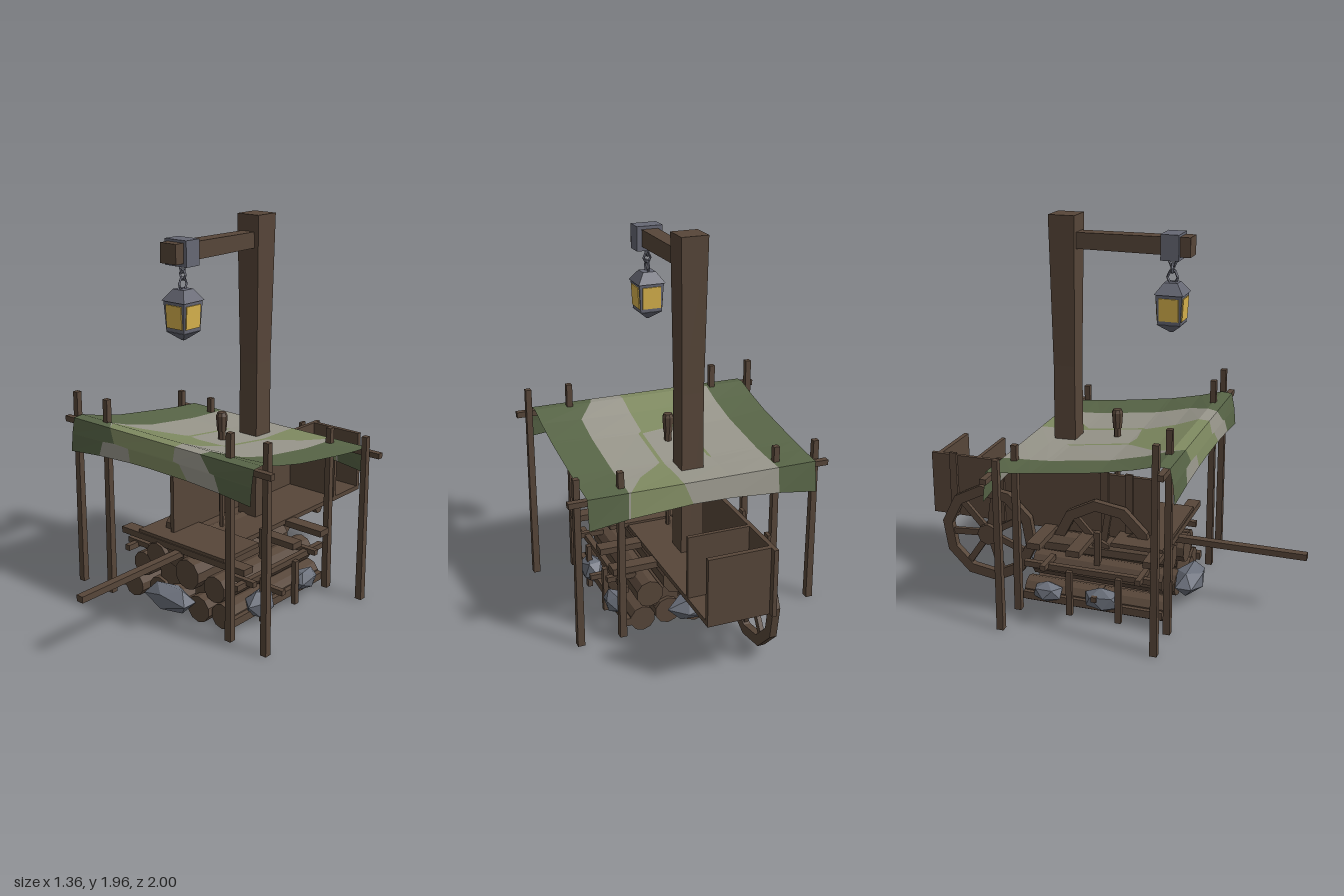
import * as THREE from 'three';

const mat = (name, color, extra = {}) => {
  const m = new THREE.MeshStandardMaterial({ color, flatShading: true, ...extra });
  m.name = name;
  return m;
};

export function createModel() {
  const root = new THREE.Group();
  const wood = mat('wood', 0x574639);
  const iron = mat('iron', 0x666874);
  const stone = mat('stone', 0x6b707b);
  const glow = mat('lantern glass', 0xd9b44e);
  const two = { side: THREE.DoubleSide };
  const dark = mat('dark green cloth', 0x586547, two);
  const sand = mat('grey cloth', 0x98968b, two);
  const light = mat('light green cloth', 0x7f8a61, two);

  const add = (name, geo, m, x = 0, y = 0, z = 0, parent = root) => {
    const mesh = new THREE.Mesh(geo, m);
    mesh.name = name;
    mesh.position.set(x, y, z);
    parent.add(mesh);
    return mesh;
  };
  // Box given by its limits on each axis
  const box = (name, x0, x1, y0, y1, z0, z1, m = wood) => add(name,
    new THREE.BoxGeometry(x1 - x0, y1 - y0, z1 - z0), m, (x0 + x1) / 2, (y0 + y1) / 2, (z0 + z1) / 2);
  // Square section with half-widths at top and bottom
  const taper = (top, bottom, h) =>
    new THREE.CylinderGeometry(top * Math.SQRT2, bottom * Math.SQRT2, h, 4).rotateY(Math.PI / 4);

  // Main post, slightly waisted
  [[0.056, 0.06, 0, 1.2], [0.068, 0.056, 1.2, 1.96]].forEach(([t, b, y0, y1]) =>
    add('mainPost', taper(t, b, y1 - y0), wood, 0, (y0 + y1) / 2, -0.265));

  // Arm and its iron collar
  const arm = add('arm', taper(0.044, 0.04, 0.6), wood, 0, 1.836, 0.08);
  arm.rotation.x = Math.PI / 2;
  box('armTip', -0.05, 0.05, 1.787, 1.883, 0.3, 0.38);
  box('armCollar', -0.068, 0.068, 1.77, 1.895, 0.237, 0.328, iron);

  // Hanging lantern
  const lantern = new THREE.Group();
  lantern.name = 'lantern';
  lantern.position.set(0, 0, 0.28);
  root.add(lantern);
  add('lanternBody', taper(0.066, 0.057, 0.15), iron, 0, 1.53, 0, lantern);
  add('lanternRoof', taper(0.034, 0.073, 0.055), iron, 0, 1.63, 0, lantern);
  add('lanternBase', taper(0.06, 0.006, 0.045), iron, 0, 1.432, 0, lantern);
  for (let i = 0; i < 4; i++) {
    const side = new THREE.Group();
    side.name = 'lanternSide';
    side.rotation.y = i * Math.PI / 2;
    lantern.add(side);
    add('lanternPane', new THREE.BoxGeometry(0.098, 0.112, 0.009), glow, 0, 1.53, 0.0625, side).rotation.x = 0.06;
  }
  [[1.68, 0.026, 0], [1.725, 0.018, 1], [1.758, 0.018, 0]].forEach(([y, r, turn]) => {
    const link = add('chainLink', new THREE.TorusGeometry(r, 0.007, 4, 6), iron, 0, y, 0, lantern);
    link.rotation.y = turn ? 0 : Math.PI / 2;
    link.scale.y = 1.3;
  });

  // Canopy poles and cross rails
  for (const x of [-0.637, -0.418, 0.398, 0.617]) {
    for (const [z, h] of [[0.4, 1.06], [-0.388, 0.89]]) {
      add('canopyPole', taper(0.015, 0.018, h), wood, x, h / 2, z);
    }
  }
  box('frontRail', -0.68, 0.675, 0.902, 0.932, 0.418, 0.448);
  box('backRail', -0.68, 0.675, 0.772, 0.8, -0.455, -0.423);

  // Canopy rows: z, edge height, middle height, then six colour borders in x
  const rows = [
    [0.48, 0.765, 0.8, -0.4, -0.18, -0.05, -0.05, 0.2, 0.4],
    [0.472, 0.855, 0.865, -0.38, -0.2, -0.05, -0.05, 0.14, 0.36],
    [0.471, 0.86, 0.87, -0.3, -0.3, -0.05, -0.05, 0.1, 0.33],
    [0.456, 0.938, 0.938, -0.34, -0.34, -0.05, -0.05, 0.1, 0.26],
    [0.4, 0.943, 0.941, -0.39, -0.38, -0.05, -0.05, 0.1, 0.28],
    [0.28, 0.91, 0.897, -0.39, -0.3, -0.05, -0.05, 0.1, 0.37],
    [0.12, 0.876, 0.855, -0.392, -0.15, -0.05, -0.05, 0.1, 0.372],
    [0.1, 0.873, 0.85, -0.392, -0.14, -0.12, 0.1, 0.122, 0.372],
    [-0.2, 0.832, 0.812, -0.396, -0.145, -0.13, 0.105, 0.125, 0.375],
    [-0.23, 0.828, 0.81, -0.396, -0.14, -0.14, 0.105, 0.16, 0.375],
    [-0.32, 0.818, 0.808, -0.397, -0.14, -0.14, 0.1, 0.27, 0.375],
    [-0.46, 0.807, 0.806, -0.4, -0.14, -0.14, 0.1, 0.37, 0.38],
    [-0.478, 0.65, 0.7, -0.4, -0.14, -0.14, 0.06, 0.38, 0.39],
  ].map(([z, edge, mid, ...b]) => [-0.605, ...b, 0.585].map(x =>
    [x, mid + (edge - mid) * (x / 0.6) ** 2, z]));
  [dark, sand, light, sand, light, sand, dark].forEach((m, k) => {
    const pos = [];
    for (let r = 0; r < rows.length - 1; r++) {
      const a = rows[r][k], b = rows[r][k + 1], c = rows[r + 1][k + 1], d = rows[r + 1][k];
      pos.push(...a, ...b, ...c, ...a, ...c, ...d);
    }
    const geo = new THREE.BufferGeometry();
    geo.setAttribute('position', new THREE.Float32BufferAttribute(pos, 3));
    geo.computeVertexNormals();
    add('canopyCloth', geo, m);
  });

  // Upright lever with a knob
  add('lever', new THREE.CylinderGeometry(0.02, 0.012, 0.56, 6), wood, 0, 0.62, 0);
  add('leverKnob', new THREE.CylinderGeometry(0.03, 0.024, 0.08, 8), wood, 0, 0.925, 0);
  add('leverCap', new THREE.CylinderGeometry(0.022, 0.03, 0.018, 8), wood, 0, 0.974, 0);

  // Wagon bed, open at the front and on one side, with a cross board and stakes
  box('wagonFloor', -0.12, 0.2, 0.335, 0.36, -0.97, 0.25);
  box('wagonSide', -0.13, -0.108, 0.335, 0.675, -1, 0.25);
  box('wagonBack', -0.12, 0.2, 0.335, 0.675, -0.97, -0.945);
  box('crossBoard', -0.12, 0.2, 0.335, 0.675, -0.742, -0.722);
  for (const z of [0.11, -0.02, -0.6, -0.87]) box('wagonStake', -0.146, -0.13, 0.335, 0.692, z - 0.02, z + 0.02);
  box('drawBar', -0.02, 0.02, 0.3, 0.332, -0.4, 1);

  // Wheels on the one side, each a ten-sided rim with hub and spokes
  const ring = r => Array.from({ length: 10 }, (_, i) =>
    new THREE.Vector2(r * Math.cos(i * Math.PI / 5 + 0.15), r * Math.sin(i * Math.PI / 5 + 0.15)));
  const rim = new THREE.Shape(ring(0.27));
  rim.holes.push(new THREE.Path(ring(0.215)));
  const rimGeo = new THREE.ExtrudeGeometry(rim, { depth: 0.036, bevelEnabled: false }).translate(0, 0, -0.018);
  for (const z of [-0.655, -0.02]) {
    const wheel = new THREE.Group();
    wheel.name = 'wheel';
    wheel.position.set(-0.172, 0.277, z);
    wheel.rotation.y = Math.PI / 2;
    root.add(wheel);
    add('wheelRim', rimGeo, wood, 0, 0, 0, wheel);
    add('wheelHub', new THREE.CylinderGeometry(0.058, 0.058, 0.07, 8).rotateX(Math.PI / 2), wood, 0, 0, 0, wheel);
    for (let i = 0; i < 7; i++) {
      add('wheelSpoke', new THREE.BoxGeometry(0.034, 0.2, 0.022).translate(0, 0.13, 0), wood, 0, 0, 0, wheel)
        .rotation.z = i * Math.PI * 2 / 7 + 0.15;
    }
    add('axle', new THREE.CylinderGeometry(0.03, 0.03, 0.34, 6).rotateZ(Math.PI / 2), wood, -0.02, 0.3, z);
  }

  // Log pile: x, y, radius, front end, back end
  [[-0.295, 0.066, 0.066, 0.36, -0.38], [-0.15, 0.07, 0.07, 0.33, -0.36], [0, 0.07, 0.07, 0.34, -0.39],
    [0.15, 0.07, 0.07, 0.36, -0.36], [0.29, 0.066, 0.066, 0.34, -0.38], [-0.235, 0.19, 0.066, 0.34, -0.36],
    [-0.08, 0.17, 0.08, 0.31, -0.38], [0.085, 0.235, 0.08, 0.36, -0.35], [0.24, 0.19, 0.07, 0.33, -0.37],
    [-0.15, 0.275, 0.064, 0.35, -0.33], [-0.03, 0.3, 0.07, 0.32, -0.36], [0.15, 0.13, 0.07, 0.3, -0.34],
  ].forEach(([x, y, r, z0, z1], i) => {
    const log = add('log', new THREE.CylinderGeometry(r, r, z0 - z1, 10).rotateX(Math.PI / 2), wood, x, y, (z0 + z1) / 2);
    log.rotation.y = 0.03 * Math.sin(i * 2.3);
  });

  // Planks across the pile
  [[-0.4, 0.43, 0.3], [-0.4, 0.42, -0.1], [-0.38, 0.43, -0.32]].forEach(([x0, x1, z]) =>
    box('crossPlank', x0, x1, 0.322, 0.355, z - 0.035, z + 0.035));
  box('deckPlank', -0.28, 0.3, 0.35, 0.372, 0.06, 0.33);

  // Frame that holds the pile
  for (const s of [-1, 1]) {
    for (const z of [0.14, -0.12]) {
      box('pileStake', s * 0.395 - 0.013, s * 0.395 + 0.013, 0, 0.24, z - 0.015, z + 0.015);
    }
    box('pileRail', s * 0.37 - 0.015, s * 0.37 + 0.015, 0.225, 0.255, -0.37, 0.33);
    box('lowPileRail', s * 0.36 - 0.02, s * 0.36 + 0.02, 0.04, 0.08, -0.38, 0.36);
    box('pileEndStake', s * 0.265 - 0.015, s * 0.265 + 0.015, 0.2, 0.415, -0.03, 0);
    for (const [y, z] of [[0.25, 0.25], [0.25, -0.25], [0.12, 0.02]]) {
      box('pileTie', Math.min(s * 0.28, s * 0.43), Math.max(s * 0.28, s * 0.43), y - 0.014, y + 0.014, z - 0.014, z + 0.014);
    }
  }

  // Rocks: position then half-sizes
  [[0, 0.1, 0.4, 0.15, 0.068, 0.075], [0.38, 0.1, 0.15, 0.06, 0.07, 0.09], [0.38, 0.1, -0.22, 0.05, 0.055, 0.085],
    [-0.37, 0.1, 0.05, 0.06, 0.06, 0.1], [-0.36, 0.09, -0.25, 0.06, 0.05, 0.08], [0.02, 0.1, -0.41, 0.14, 0.065, 0.07],
  ].forEach(([x, y, z, a, b, c], i) => {
    const geo = new THREE.IcosahedronGeometry(1.08, 0).rotateZ(i * 0.9).rotateY(i * 1.7).scale(a, b, c);
    add('rock', geo, stone, x, y, z);
  });

  return root;
}
